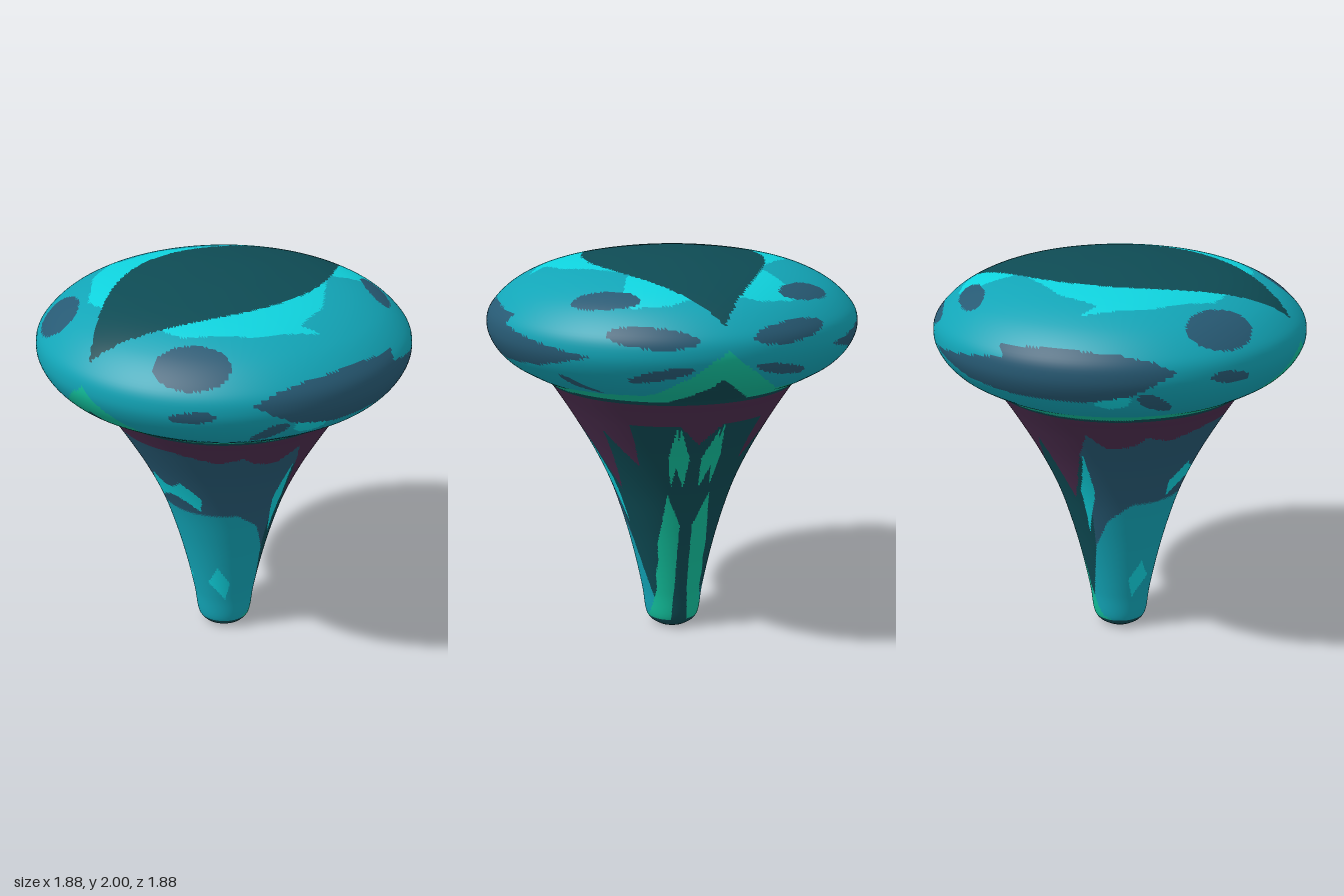
import * as THREE from 'three';

const SEGMENTS = 320;
const colours = {
  teal: 0x12a5b7, cyan: 0x0fd2dd, darkTeal: 0x0e4b54,
  slate: 0x275a74, green: 0x12c09c, purple: 0x4c2d4e,
};
const names = Object.keys(colours);

// Point inside a closed outline
function inside(poly, u, v) {
  let hit = false;
  for (let i = 0, j = poly.length - 1; i < poly.length; j = i++) {
    const [a, b] = poly[i], [c, d] = poly[j];
    if ((b > v) !== (d > v) && u < ((c - a) * (v - b)) / (d - b) + a) hit = !hit;
  }
  return hit;
}

// Paint masks projected along one axis; the pattern is mirrored in z
const front = (poly) => (p) => inside(poly, p.x, p.y);
const top = (poly) => (p) => p.y > 1.64 && inside(poly, p.x, Math.abs(p.z));
const side = (poly) => (p) => p.x > 0 && inside(poly, Math.abs(p.z), p.y);

// Tilted oval outline for spots
function oval(cx, cy, rx, ry, tilt) {
  const c = Math.cos(tilt), s = Math.sin(tilt), pts = [];
  for (let i = 0; i < 24; i++) {
    const a = (i / 24) * Math.PI * 2, u = Math.cos(a) * rx, v = Math.sin(a) * ry;
    pts.push([cx + u * c - v * s, cy + u * s + v * c]);
  }
  return pts;
}

// Thin four-cornered sliver between two tips
function blade(x0, y0, x1, y1, width) {
  const mx = (x0 + x1) / 2, my = (y0 + y1) / 2;
  return [[x0, y0], [mx + width / 2, my], [x1, y1], [mx - width / 2, my]];
}

// Revolve a profile, then sort its triangles into one group per colour
function paintedLathe(name, profile, base, layers, materials) {
  const geo = new THREE.LatheGeometry(profile, SEGMENTS);
  const pos = geo.attributes.position, idx = geo.index.array;
  const buckets = Object.fromEntries(names.map((n) => [n, []]));
  const c = new THREE.Vector3(), v = new THREE.Vector3();
  for (let i = 0; i < idx.length; i += 3) {
    c.set(0, 0, 0);
    for (let k = 0; k < 3; k++) c.add(v.fromBufferAttribute(pos, idx[i + k]));
    c.divideScalar(3);
    let colour = base;
    for (const [n, test] of layers) if (test(c)) colour = n;
    buckets[colour].push(idx[i], idx[i + 1], idx[i + 2]);
  }
  const sorted = [];
  names.forEach((n, m) => {
    if (!buckets[n].length) return;
    geo.addGroup(sorted.length, buckets[n].length, m);
    for (const i of buckets[n]) sorted.push(i);
  });
  geo.setIndex(sorted);
  const mesh = new THREE.Mesh(geo, materials);
  mesh.name = name;
  return mesh;
}

const smooth = (pts, n) =>
  new THREE.SplineCurve(pts.map(([x, y]) => new THREE.Vector2(x, y))).getSpacedPoints(n);

function makeStem(materials) {
  // Flared profile with a small flat foot
  const profile = [
    new THREE.Vector2(0, 0), new THREE.Vector2(0.045, 0),
    ...smooth([[0.08, 0], [0.135, 0.05], [0.16, 0.2], [0.203, 0.4], [0.257, 0.6],
      [0.325, 0.8], [0.42, 1], [0.537, 1.2], [0.628, 1.34]], 78),
  ];
  const flank = [[-1, 0.8], [-0.175, 0.79], [-0.045, 0.69], [0.045, 0.51]];
  const teeth = [[-0.58, 1.26], [-0.4, 1.195], [-0.32, 1.23], [-0.25, 1.18], [-0.135, 1.16],
    [-0.04, 1.245], [0.03, 1.1], [0.125, 0.8], [0.27, 1.155], [0.31, 0.97], [0.45, 1.26]];
  const root = [[0.11, 0.8], [0.03, 0.61], [0.03, 0.35], [0.045, 0], [0.145, 0],
    [0.11, 0.28], [0.13, 0.5]];
  const paint = [
    // flank colours
    ['slate', front([...flank, [0.02, 1.3], [-1, 1.3]])],
    ['teal', front([...flank, [0.1, 0.15], [0.03, 0], [-1, 0]])],
    // ragged collar
    ['purple', (p) => p.y > (p.x > 0.02 ? 1.21 : 1.25)],
    ['purple', front(teeth)],
    ['purple', side([[-0.01, 1.09], [0.115, 1.22], [-0.01, 1.22]])],
    // bright slivers
    ['cyan', front(blade(0.01, 1.11, 0.07, 0.6, 0.08))],
    ['cyan', front(blade(-0.41, 1, -0.3, 0.81, 0.05))],
    ['cyan', front(blade(-0.17, 0.42, -0.11, 0.2, 0.07))],
    ['green', side(blade(0.12, 1.21, 0.1, 0.84, 0.05))],
    ['green', side(blade(0.1, 1.19, 0.04, 0.84, 0.08))],
    ['green', side(root)],
    ['green', front(blade(0.08, 0, 0.25, 0.64, 0.06))],
    // foot
    ['darkTeal', (p) => p.x > 0 && Math.abs(p.z) < 0.033 && p.y < 0.6],
    ['darkTeal', (p) => p.y < 0.045],
    ['cyan', (p) => p.y < 0.002 && Math.hypot(p.x, p.z) < 0.05],
  ];
  return paintedLathe('stem', profile, 'darkTeal', paint, materials);
}

function makeCap(materials) {
  const profile = smooth([[0.628, 1.34], [0.665, 1.37], [0.74, 1.408], [0.84, 1.47],
    [0.91, 1.55], [0.94, 1.64], [0.913, 1.735], [0.785, 1.85], [0.575, 1.936],
    [0.255, 1.99], [0, 2]], 92);
  const halo = [[-0.63, 0.19], [-0.6, 0.33], [-0.375, 0.56], [-0.083, 0.718],
    [-0.13, 0.63], [0.08, 0.58], [0.36, 0.36]];
  const crescent = [[0.49, 0.62], [0.71, 0.38], [0.755, 0.22], [0.735, 0.12],
    [0.42, 0.34], [0.58, 0.4]];
  const blotch = [[-0.57, 1.675], [-0.47, 1.725], [-0.31, 1.757], [-0.05, 1.772], [0.26, 1.755],
    [0.235, 1.71], [0.74, 1.625], [0.48, 1.55], [0.17, 1.522], [-0.15, 1.522], [-0.39, 1.57]];
  const paint = [
    // pale halo round an eye-shaped crown
    ['cyan', top(halo)],
    ['cyan', top(crescent)],
    ['darkTeal', (p) => p.y > 1.64 && Math.abs(p.x) < 0.887
      && Math.abs(p.z) < 0.452 * Math.cos((p.x / 0.887) * Math.PI / 2)],
    // rim stripe and underside, peaking on both flanks
    ['green', (p) => p.y < Math.max(1.665 - 0.77 * Math.abs(p.z), 1.435 - 0.05 * Math.abs(p.z))],
    ['darkTeal', (p) => p.y < Math.max(1.52 - 0.8 * Math.abs(p.z), 1.367 - 0.015 * Math.abs(p.z))],
    // long blotch with a pale fleck below it
    ['cyan', front(oval(-0.29, 1.535, 0.085, 0.045, -0.2))],
    ['slate', front(blotch)],
  ];
  // spots: centre, half-lengths, tilt
  const spots = [
    [top, -0.672, 0.465, 0.18, 0.095, 0.95],
    [top, 0.587, 0.486, 0.17, 0.06, -1],
    [side, 0.33, 1.722, 0.2, 0.046, 0.05],
    [side, 0.29, 1.55, 0.145, 0.028, -0.22],
    [front, 0.555, 1.465, 0.05, 0.028, -1.3],
    [front, -0.755, 1.62, 0.066, 0.029, 0.2],
    [front, -0.46, 1.52, 0.07, 0.045, 0.8],
  ];
  for (const [mask, ...shape] of spots) paint.push(['slate', mask(oval(...shape))]);
  return paintedLathe('cap', profile, 'teal', paint, materials);
}

export function createModel() {
  const group = new THREE.Group();
  group.name = 'mushroom';
  const materials = names.map((n) => {
    const m = new THREE.MeshStandardMaterial({ color: colours[n] });
    m.name = n;
    return m;
  });
  group.add(makeStem(materials), makeCap(materials));
  return group;
}
